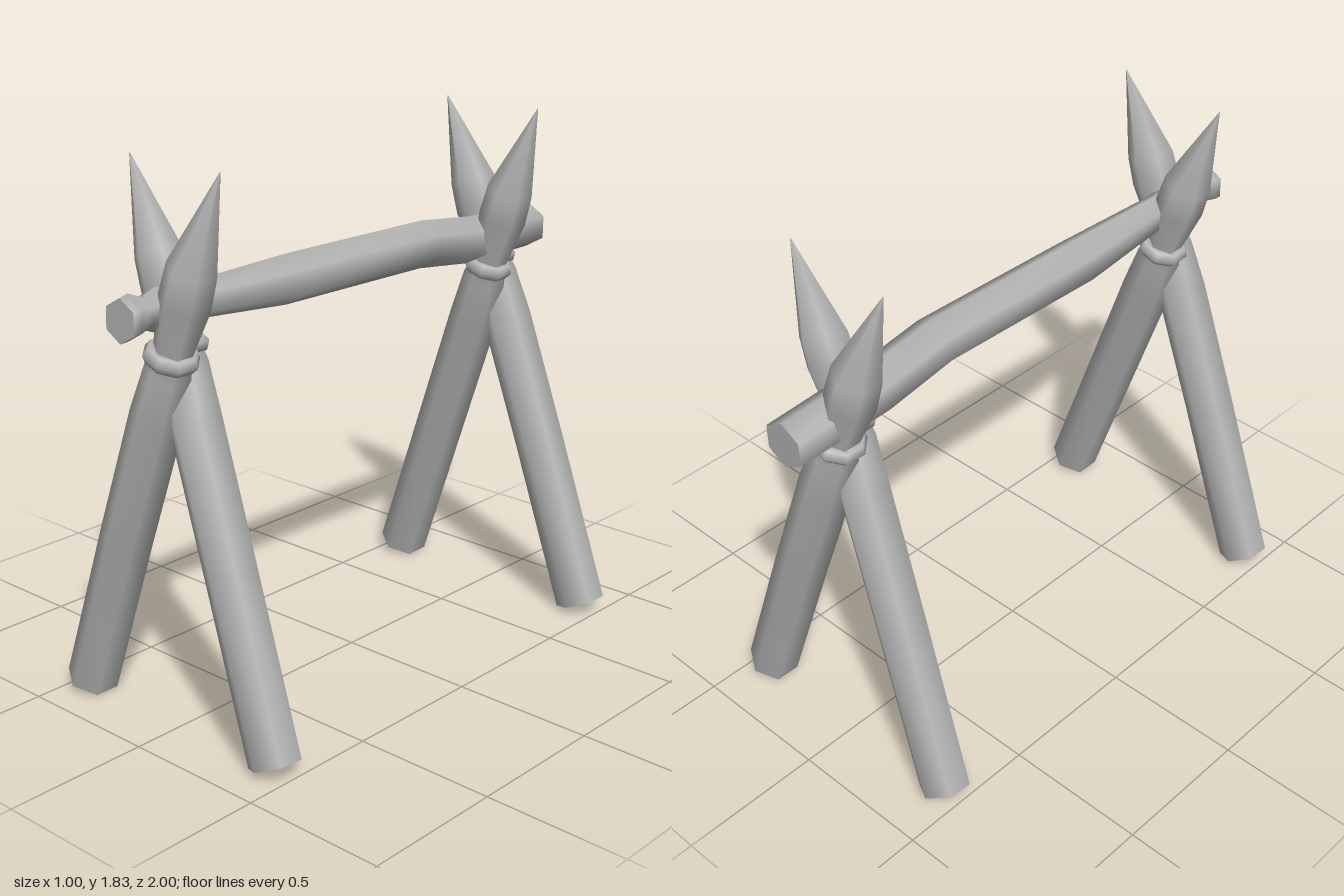
import * as THREE from 'three';

const SIDES = 6;

// Six-sided log through stations [x, y, z, radius], smooth round the sides with flat capped ends.
function logGeometry(stations, cornerDir, axisEnd) {
  const at = (s) => new THREE.Vector3(s[0], s[1], s[2]);
  const dir = at(stations[axisEnd]).sub(at(stations[0])).normalize();
  const u = cornerDir.clone().addScaledVector(dir, -cornerDir.dot(dir)).normalize();
  const v = dir.clone().cross(u);
  const positions = [], index = [];
  const addRing = (s) => {
    const first = positions.length / 3;
    for (let j = 0; j < SIDES; j++) {
      const a = (j / SIDES) * Math.PI * 2;
      const p = at(s).addScaledVector(u, s[3] * Math.cos(a)).addScaledVector(v, s[3] * Math.sin(a));
      positions.push(p.x, p.y, p.z);
    }
    return first;
  };
  const rings = stations.map(addRing);
  for (let i = 0; i < rings.length - 1; i++) {
    for (let j = 0; j < SIDES; j++) {
      const k = (j + 1) % SIDES;
      const a = rings[i] + j, b = rings[i] + k, c = rings[i + 1] + j, d = rings[i + 1] + k;
      index.push(a, b, c, b, d, c);
    }
  }
  // End caps have their own corners so their rims stay sharp
  const start = addRing(stations[0]);
  const end = addRing(stations[stations.length - 1]);
  for (let j = 1; j < SIDES - 1; j++) {
    index.push(start, start + j + 1, start + j, end, end + j, end + j + 1);
  }
  const geometry = new THREE.BufferGeometry();
  geometry.setAttribute('position', new THREE.Float32BufferAttribute(positions, 3));
  geometry.setIndex(index);
  geometry.computeVertexNormals();
  return geometry;
}

export function createModel() {
  const model = new THREE.Group();
  model.name = 'spitRack';
  const wood = new THREE.MeshStandardMaterial({ color: 0xb4b4b4 });
  wood.name = 'plain grey';

  const add = (parent, geometry, name) => {
    const mesh = new THREE.Mesh(geometry, wood);
    mesh.name = name;
    parent.add(mesh);
    return mesh;
  };

  // Sharpened stake: [x, y, radius]; each stake bows differently in z
  const stake = [
    [-0.43, 0.028, 0.088], [-0.215, 0.6, 0.088], [-0.05, 1.04, 0.088], [0.008, 1.2, 0.076],
    [0.028, 1.26, 0.062], [0.085, 1.43, 0.084], [0.113, 1.53, 0.08], [0.212, 1.828, 0.001],
  ];
  const outerBow = [0.822, 0.832, 0.832, 0.832, 0.83, 0.826, 0.82, 0.79];
  const innerBow = [0.825, 0.79, 0.765, 0.745, 0.742, 0.742, 0.745, 0.76];

  function crossedStakes(name) {
    const pair = new THREE.Group();
    pair.name = name;
    for (const [side, bow, label] of [[1, outerBow, 'outer'], [-1, innerBow, 'inner']]) {
      const path = stake.map(([x, y, r], i) => [x * side, y, bow[i], r]);
      add(pair, logGeometry(path, new THREE.Vector3(0, 0, 1), 3), label + 'Stake');
      // Rope ring round the pinched neck
      const ring = add(pair, new THREE.TorusGeometry(0.063, 0.029, 6, 8), label + 'Lashing');
      ring.position.set(0.024 * side, 1.25, bow[4]);
      const axis = new THREE.Vector3(0.34 * side, 0.94, 0).normalize();
      ring.quaternion.setFromUnitVectors(new THREE.Vector3(0, 0, 1), axis);
    }
    model.add(pair);
    return pair;
  }

  // The back pair is the front pair turned half round
  crossedStakes('frontStakes');
  const back = crossedStakes('backStakes');
  back.rotation.y = Math.PI;
  back.position.z = 0.042;

  // Crossbar resting in the forks, with a knobbed front end
  const bar = [
    [-0.005, 1.39, 1.0, 0.07], [-0.005, 1.395, 0.97, 0.073], [-0.005, 1.395, 0.91, 0.05],
    [-0.01, 1.395, 0.86, 0.07], [-0.008, 1.395, 0.72, 0.06], [-0.01, 1.382, 0.3, 0.084],
    [0.002, 1.382, -0.35, 0.084], [-0.008, 1.348, -0.63, 0.085], [-0.02, 1.342, -0.994, 0.081],
  ];
  add(model, logGeometry(bar, new THREE.Vector3(0, 1, 0), bar.length - 1), 'crossbar');

  return model;
}
